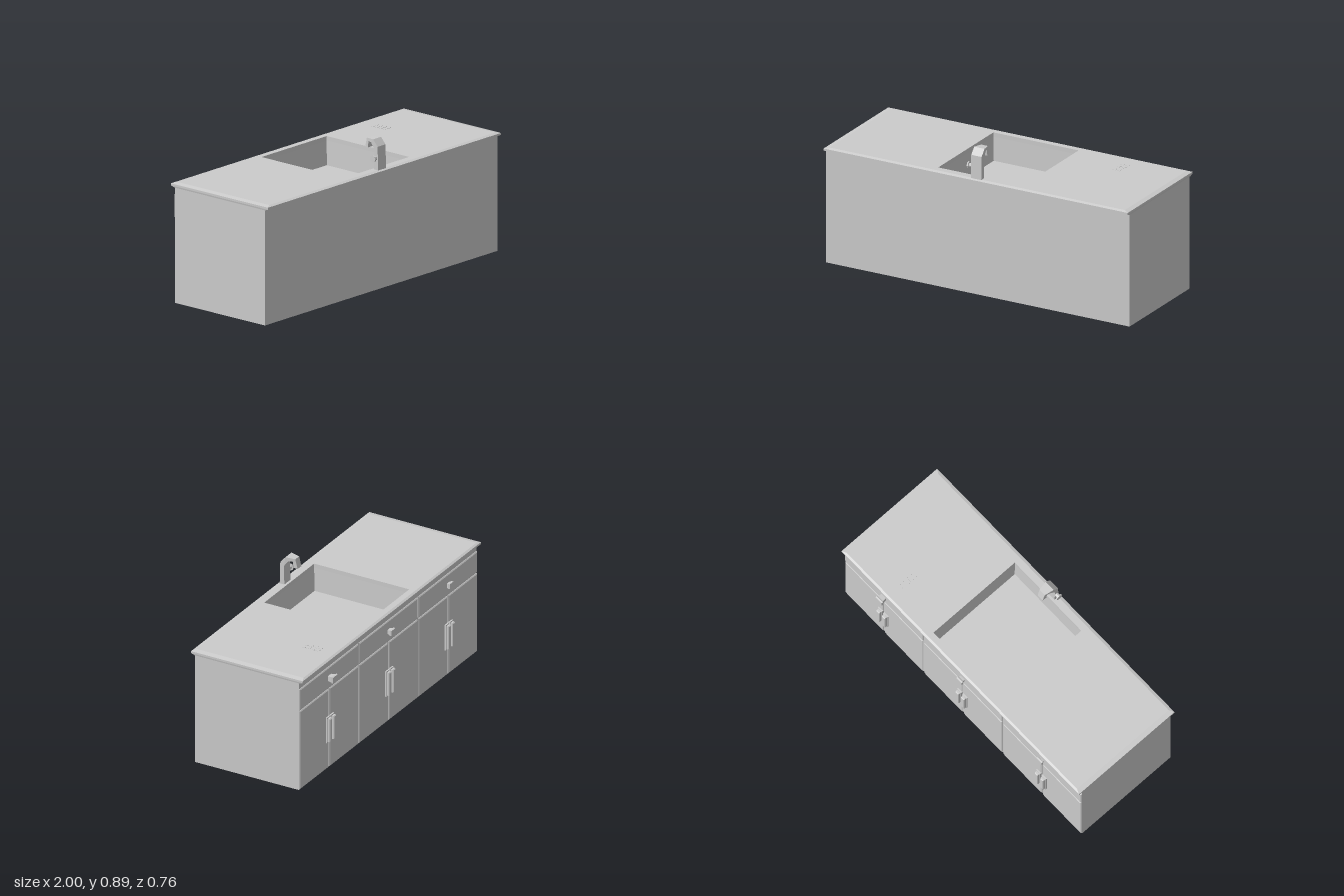
import * as THREE from 'three';

const grey = new THREE.MeshStandardMaterial({ color: 0xcccccc, flatShading: true, side: THREE.DoubleSide });

// Skin over stacked rectangles [x0, x1, z0, z1, y]; the ends are capped on request
function loft(name, rings, capStart = true, capEnd = true) {
  const pos = [];
  const loops = rings.map(([x0, x1, z0, z1, y]) => [[x0, y, z1], [x1, y, z1], [x1, y, z0], [x0, y, z0]]);
  const quad = (a, b, c, d) => pos.push(...a, ...b, ...c, ...a, ...c, ...d);
  for (let i = 0; i + 1 < loops.length; i++) {
    for (let k = 0; k < 4; k++) {
      const n = (k + 1) % 4;
      quad(loops[i][k], loops[i][n], loops[i + 1][n], loops[i + 1][k]);
    }
  }
  const [a, b, c, d] = loops[0];
  if (capStart) quad(d, c, b, a);
  if (capEnd) quad(...loops[loops.length - 1]);
  const geo = new THREE.BufferGeometry();
  geo.setAttribute('position', new THREE.Float32BufferAttribute(pos, 3));
  geo.computeVertexNormals();
  const mesh = new THREE.Mesh(geo, grey);
  mesh.name = name;
  return mesh;
}

// Block standing out toward -z, centred on (x, y); steps are [width, height, depth]
function relief(name, x, y, steps) {
  const mesh = loft(name, steps.map(([w, h, d]) => [x - w / 2, x + w / 2, y - h / 2, y + h / 2, d]));
  mesh.rotation.x = -Math.PI / 2;
  return mesh;
}

function panel(name, x, y, w, h) {
  return relief(name, x, y, [[w, h, 0.325], [w, h, 0.333], [w - 0.014, h - 0.012, 0.338]]);
}

// Bent spout cut from a side outline, narrowing toward its tip
function makeFaucet() {
  const faucet = new THREE.Group();
  faucet.name = 'faucet';
  const outline = [[0.366, 0.705], [0.362, 0.85], [0.328, 0.888], [0.27, 0.884], [0.255, 0.825],
    [0.28, 0.828], [0.285, 0.868], [0.31, 0.865], [0.338, 0.828], [0.335, 0.705]];
  const shape = new THREE.Shape(outline.map(([z, y]) => new THREE.Vector2(z, y)));
  const geo = new THREE.ExtrudeGeometry(shape, { depth: 0.068, bevelEnabled: false });
  geo.translate(0, 0, -0.034).rotateY(-Math.PI / 2);
  const p = geo.attributes.position;
  for (let i = 0; i < p.count; i++) {
    const t = THREE.MathUtils.clamp((0.325 - p.getZ(i)) / 0.06, 0, 1);
    p.setX(i, p.getX(i) * (1 - 0.38 * t) - 0.005);
  }
  geo.computeVertexNormals();
  const spout = new THREE.Mesh(geo, grey);
  spout.name = 'spout';
  faucet.add(spout);

  // Side tap
  for (const [name, r, len, x] of [['tapStem', 0.012, 0.025, -0.048], ['tapKnob', 0.021, 0.008, -0.062]]) {
    const tap = new THREE.Mesh(new THREE.CylinderGeometry(r, r, len, 8), grey);
    tap.name = name;
    tap.rotation.z = Math.PI / 2;
    tap.position.set(x, 0.78, 0.348);
    faucet.add(tap);
  }
  return faucet;
}

export function createModel() {
  const model = new THREE.Group();
  model.name = 'kitchenCounter';

  // Cabinet box, left open under the worktop
  model.add(loft('cabinetBody', [
    [-0.997, 0.997, -0.33, 0.354, 0],
    [-0.997, 0.997, -0.33, 0.354, 0.685],
  ], true, false));

  // Worktop with chamfered rim, running inward and down into the basin
  model.add(loft('worktopAndSink', [
    [-0.997, 0.997, -0.33, 0.354, 0.684],
    [-0.998, 0.998, -0.335, 0.357, 0.684],
    [-1, 1, -0.358, 0.38, 0.693],
    [-1, 1, -0.358, 0.38, 0.705],
    [-0.97, 0.97, -0.345, 0.362, 0.711],
    [-0.28, 0.28, -0.308, 0.32, 0.711],
    [-0.28, 0.28, -0.308, 0.32, 0.685],
    [-0.275, 0.275, -0.303, 0.315, 0.54],
  ], false, true));

  // Three bays: drawer with knob over a pair of doors with handles
  const bay = 2 / 3;
  for (let i = -1; i <= 1; i++) {
    const x = i * bay;
    model.add(panel('drawerFront', x, 0.577, bay - 0.008, 0.134));
    const s = [0.8, 0.85, 1][i + 1];
    const reach = [0.36, 0.368, 0.378][i + 1];
    model.add(relief('drawerKnob', x, 0.577, [
      [0.036 * s, 0.03 * s, 0.335], [0.042 * s, 0.034 * s, reach - 0.016],
      [0.054 * s, 0.042 * s, reach - 0.01], [0.05 * s, 0.038 * s, reach],
    ]));
    for (const side of [-1, 1]) {
      model.add(panel('door', x + side * bay / 4, 0.254, bay / 2 - 0.01, 0.5));
      const hx = x + side * 0.023;
      model.add(relief('handlePlate', hx, 0.255, [[0.036, 0.162, 0.335], [0.036, 0.162, 0.347]]));
      model.add(relief('handleGrip', hx, 0.255, [
        [0.026, 0.148, 0.346], [0.026, 0.148, 0.358], [0.02, 0.138, 0.363],
      ]));
    }
  }

  // Small flush grille in the worktop
  for (let r = 0; r < 4; r++) {
    for (const c of [-1, 1]) {
      const bar = new THREE.Mesh(new THREE.BoxGeometry(0.022, 0.002, 0.02), grey);
      bar.name = 'grilleBar';
      bar.position.set(0.62 + c * 0.015, 0.7113, -0.245 + r * 0.03);
      model.add(bar);
    }
  }

  model.add(makeFaucet());
  return model;
}
